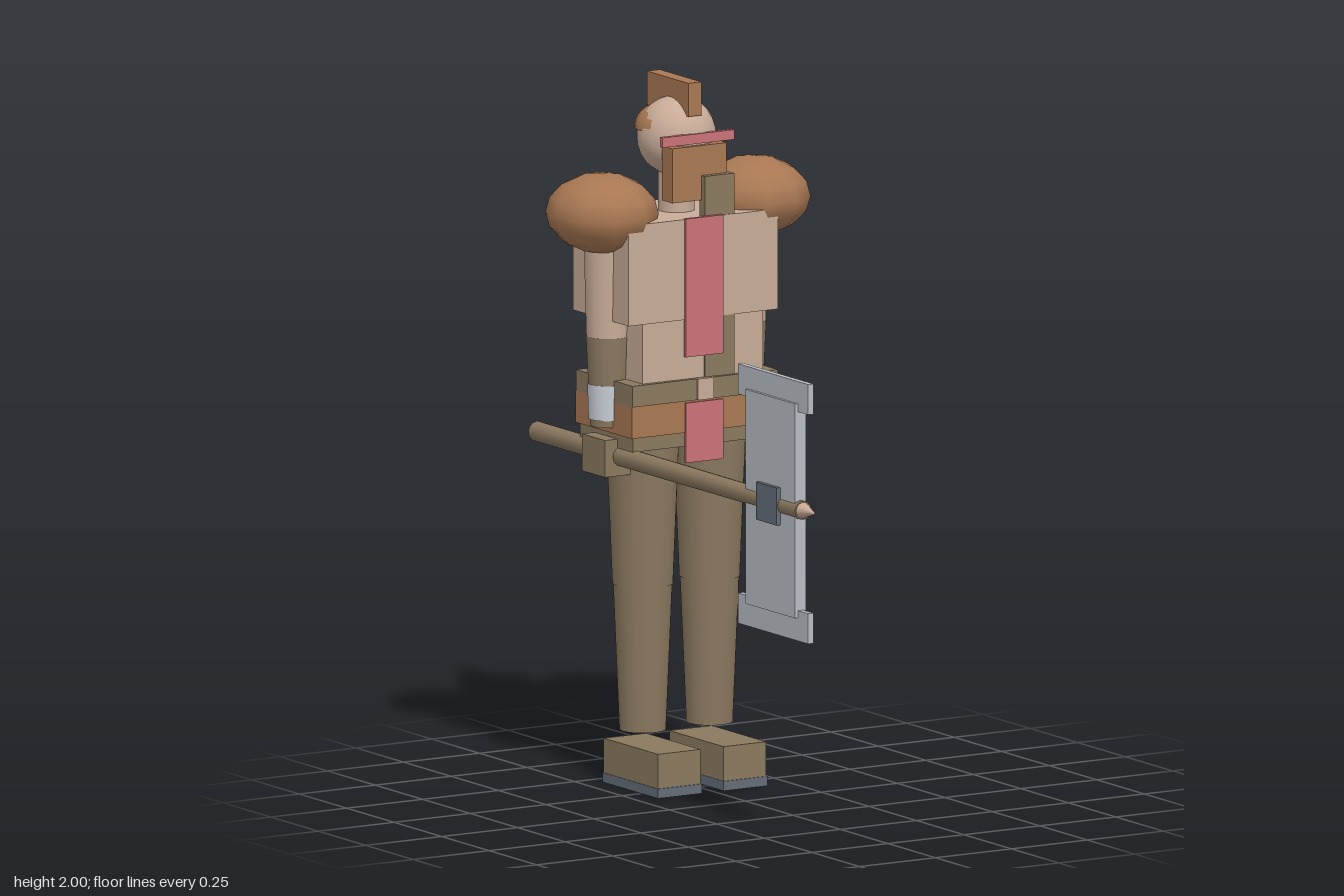
import * as THREE from 'three';

const mat = (name, color) => {
  const m = new THREE.MeshStandardMaterial({ color });
  m.name = name;
  return m;
};

export function createModel() {
  const skin = mat('skin', 0xc9ac98);
  const brown = mat('leatherBrown', 0xa97853);
  const tan = mat('darkTan', 0x8b7960);
  const red = mat('red', 0xcb7278);
  const steel = mat('steel', 0xb9bec5);
  const silver = mat('brightSteel', 0xc9ced6);
  const slate = mat('slate', 0x646c77);

  const model = new THREE.Group();
  model.name = 'axeWarrior';
  const CX = -0.007, CZ = -0.353; // body axis

  const add = (name, geo, material, x, y, z) => {
    const mesh = new THREE.Mesh(geo, material);
    mesh.name = name;
    mesh.position.set(x, y, z);
    model.add(mesh);
    return mesh;
  };
  // Box from its extents on each axis
  const box = (name, m, x0, x1, y0, y1, z0, z1) =>
    add(name, new THREE.BoxGeometry(x1 - x0, y1 - y0, z1 - z0), m,
      (x0 + x1) / 2, (y0 + y1) / 2, (z0 + z1) / 2);
  // Upright tapered limb from y0 to y1
  const limb = (name, m, x, y0, y1, rBottom, rTop, sides = 16) =>
    add(name, new THREE.CylinderGeometry(rTop, rBottom, y1 - y0, sides), m, x, (y0 + y1) / 2, CZ);

  // Torso and belt
  box('pelvis', tan, -0.238, 0.222, 0.98, 1.02, -0.49, -0.212);
  box('belt', brown, -0.245, 0.233, 1.02, 1.11, -0.503, -0.206);
  box('upperBelt', tan, -0.245, 0.233, 1.11, 1.17, -0.5, -0.202);
  box('buckle', skin, -0.033, 0.02, 1.11, 1.17, -0.204, -0.197);
  box('abdomen', skin, -0.203, 0.194, 1.17, 1.34, -0.487, -0.217);
  box('chest', skin, -0.253, 0.238, 1.34, 1.625, -0.503, -0.21);
  box('shoulderStrap', tan, 0, 0.097, 1.17, 1.74, -0.243, -0.213);
  box('chestSash', red, -0.07, 0.053, 1.235, 1.628, -0.212, -0.2);
  box('loinSash', red, -0.07, 0.053, 0.935, 1.105, -0.21, -0.2);
  limb('neck', skin, CX, 1.62, 1.76, 0.052, 0.052);

  // Head, hair and face
  add('head', new THREE.SphereGeometry(0.113, 18, 14), skin, CX, 1.836, -0.352);
  const hair = add('hairCap',
    new THREE.SphereGeometry(0.112, 18, 8, 0, Math.PI * 2, 0, Math.PI / 2), brown, CX, 1.857, -0.365);
  hair.scale.y = 0.7;
  const rim = add('hairCapBase', new THREE.CircleGeometry(0.112, 18), brown, CX, 1.857, -0.365);
  rim.rotation.x = Math.PI / 2;
  box('hairCrest', brown, -0.027, 0.016, 1.905, 2, -0.476, -0.257);
  box('beard', brown, -0.096, 0.082, 1.67, 1.825, -0.286, -0.231);
  box('faceBand', red, -0.124, 0.113, 1.83, 1.858, -0.252, -0.237);

  for (const [side, s] of [['left', 1], ['right', -1]]) {
    // Legs and boots
    const lx = CX + s * 0.108;
    limb(side + 'Thigh', tan, CX + s * 0.11, 0.575, 0.985, 0.086, 0.103);
    limb(side + 'Shin', tan, CX + s * 0.11, 0.16, 0.58, 0.066, 0.084);
    box(side + 'Boot', tan, lx - 0.07, lx + 0.07, 0.025, 0.125, -0.45, -0.164);
    box(side + 'Sole', slate, lx - 0.072, lx + 0.072, 0, 0.027, -0.453, -0.161);

    // Arms and hands
    const ax = CX + s * 0.225;
    limb(side + 'UpperArm', skin, ax, 1.29, 1.62, 0.061, 0.07);
    limb(side + 'Forearm', tan, ax, 1.035, 1.29, 0.05, 0.062);
    limb(side + 'Bracer', silver, ax, 1.055, 1.155, 0.055, 0.058);
    const hx = CX + s * 0.212;
    box(side + 'Hand', tan, hx - 0.06, hx + 0.06, 0.9, 1.005, -0.413, -0.293);

    // Shoulder pads
    const pad = add(side + 'ShoulderPad', new THREE.SphereGeometry(0.16, 10, 8), brown, s * 0.25, 1.64, -0.355);
    pad.scale.set(0.98, 0.7, 1.02);
  }

  // Two-headed axe lying along z through the right hand
  const AX = -0.225, AY = 0.955;
  const shaft = add('axeShaft', new THREE.CylinderGeometry(0.027, 0.029, 1.4, 12), tan, AX, AY, -0.037);
  shaft.rotation.x = Math.PI / 2;
  const tip = add('axeTip', new THREE.ConeGeometry(0.024, 0.07, 12), skin, AX, AY, 0.695);
  tip.rotation.x = Math.PI / 2;
  box('axeSocket', slate, AX - 0.03, AX + 0.03, 0.9, 1.007, 0.463, 0.572);
  box('axeBlade', steel, AX - 0.018, AX + 0.018, 0.648, 1.257, 0.39, 0.65);
  for (const [name, y] of [['upperBladeEdge', 1.277], ['lowerBladeEdge', 0.626]])
    box(name, steel, AX - 0.009, AX + 0.009, y - 0.043, y + 0.043, 0.334, 0.704);

  return model;
}
